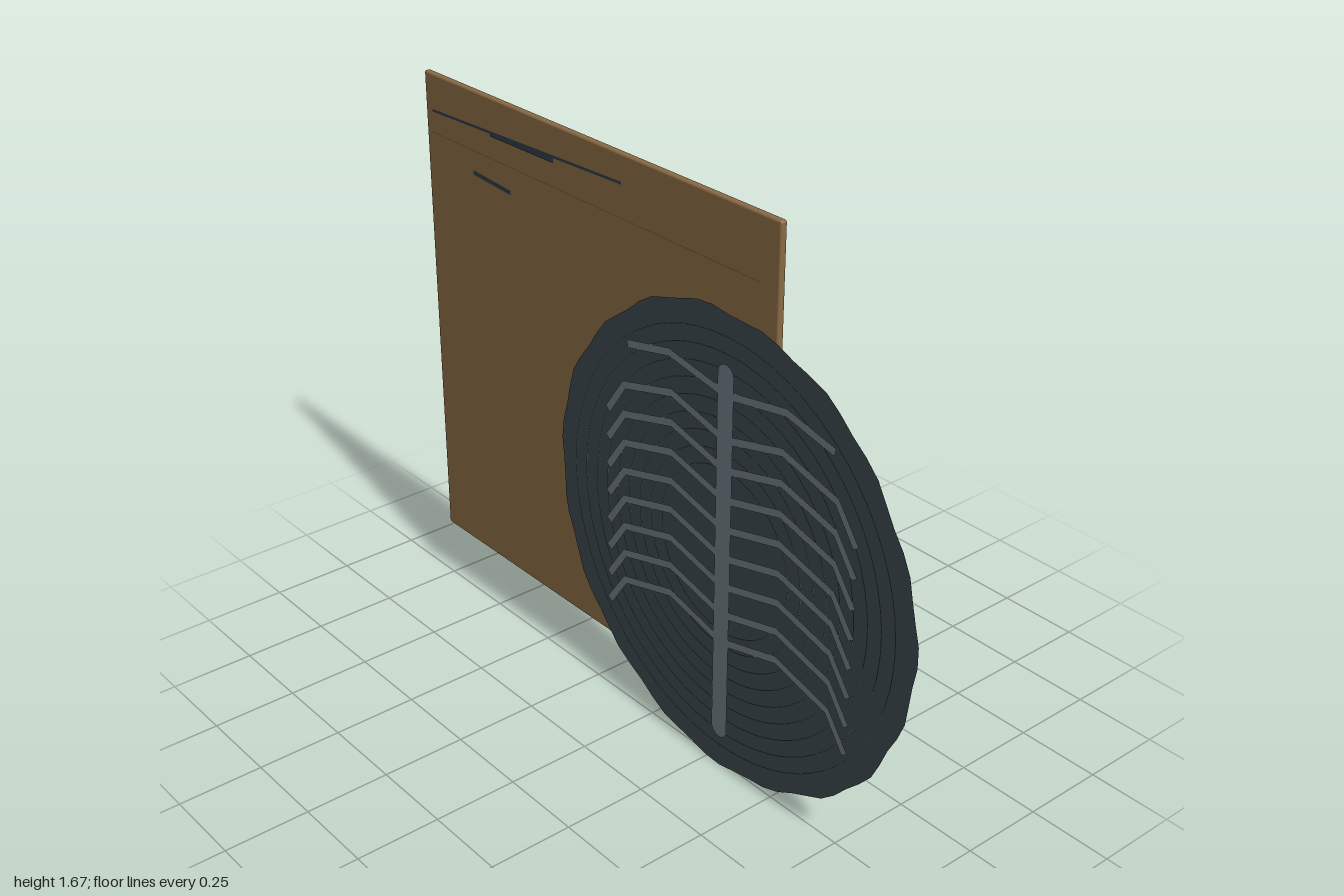
import * as THREE from 'three';
import { RoundedBoxGeometry } from 'three/addons/geometries/RoundedBoxGeometry.js';

const CX = 0.305, CY = 0.694; // centre of the leaf disc

function material(name, color) {
  const m = new THREE.MeshStandardMaterial({ color, side: THREE.DoubleSide });
  m.name = name;
  return m;
}

// Flat ribbon of constant width following [x, y] points, with mitred joints
function ribbon(points, width) {
  const p = points.map(([x, y]) => new THREE.Vector2(x, y));
  const upper = [], lower = [];
  p.forEach((v, i) => {
    const a = p[Math.max(i - 1, 0)], b = p[Math.min(i + 1, p.length - 1)];
    const d = b.clone().sub(a).normalize();
    const n = new THREE.Vector2(-d.y, d.x).multiplyScalar(width / 2);
    upper.push(v.clone().add(n));
    lower.unshift(v.clone().sub(n));
  });
  return new THREE.ShapeGeometry(new THREE.Shape([...upper, ...lower]));
}

export function createModel() {
  const group = new THREE.Group();
  const wood = material('cardboard brown', 0x8b6b45);
  const slate = material('dark slate', 0x3d484e);
  const vein = material('pale slate', 0x707c84);
  const ink = material('dark ink', 0x2f3d48);
  const crease = material('crease brown', 0x6f5638);

  const add = (name, geometry, mat, x, y, z) => {
    const mesh = new THREE.Mesh(geometry, mat);
    mesh.name = name;
    mesh.position.set(x, y, z);
    group.add(mesh);
    return mesh;
  };

  // Square backing board with softly rounded edges
  add('board', new RoundedBoxGeometry(1.475, 1.48, 0.02, 2, 0.007), wood, -0.2625, 0.93, -0.004);

  // Ruled line, crease and plain short marks on the board
  add('inkLine', ribbon([[-0.965, 1.561], [-0.115, 1.591]], 0.008), ink, 0, 0, 0.008);
  add('inkMark', ribbon([[-0.685, 1.567], [-0.4, 1.571]], 0.015), ink, 0, 0, 0.0085);
  add('smallInkMark', ribbon([[-0.775, 1.43], [-0.6, 1.42]], 0.013), ink, 0, 0, 0.008);
  add('creaseLine', ribbon([[-0.975, 1.495], [0.41, 1.495]], 0.003), crease, 0, 0, 0.0075);

  // Thin disc with a wavy rim
  const rim = [];
  for (let i = 0; i < 72; i++) {
    const a = (i / 72) * Math.PI * 2;
    const r = 0.688 + 0.005 * Math.sin(a * 19 + 0.6) + 0.003 * Math.sin(a * 7 + 1);
    rim.push(new THREE.Vector2(Math.cos(a) * r, Math.sin(a) * r));
  }
  add('disc', new THREE.ShapeGeometry(new THREE.Shape(rim)), slate, CX, CY, 0.0125);

  // Fine concentric rings
  for (let i = 0; i < 9; i++) {
    const r = 0.622 - i * 0.047;
    add('ring', new THREE.RingGeometry(r - 0.0015, r + 0.0015, 72), vein, CX, CY, 0.0155);
  }

  // Central spine with rounded ends
  const spine = new THREE.Shape();
  spine.absarc(0, 0.54, 0.03, 0, Math.PI, false);
  spine.absarc(0, -0.54, 0.03, Math.PI, Math.PI * 2, false);
  add('spine', new THREE.ShapeGeometry(spine, 8), vein, CX, 0.67, 0.0175);

  // Mirrored bent ribs
  for (const s of [-1, 1]) {
    add('topRib', ribbon([[0, 1.155], [s * 0.22, 1.193], [s * 0.39, 1.155]], 0.023), vein, CX, 0, 0.0165);
    for (let i = 0; i < 8; i++) {
      const y = 1.08 - i * 0.0877;
      const path = [[0, y - 0.053], [s * 0.21, y], [s * 0.405, y - 0.053], [s * 0.475, y - 0.152]];
      add('rib', ribbon(path, 0.023), vein, CX, 0, 0.0165);
    }
  }
  return group;
}
